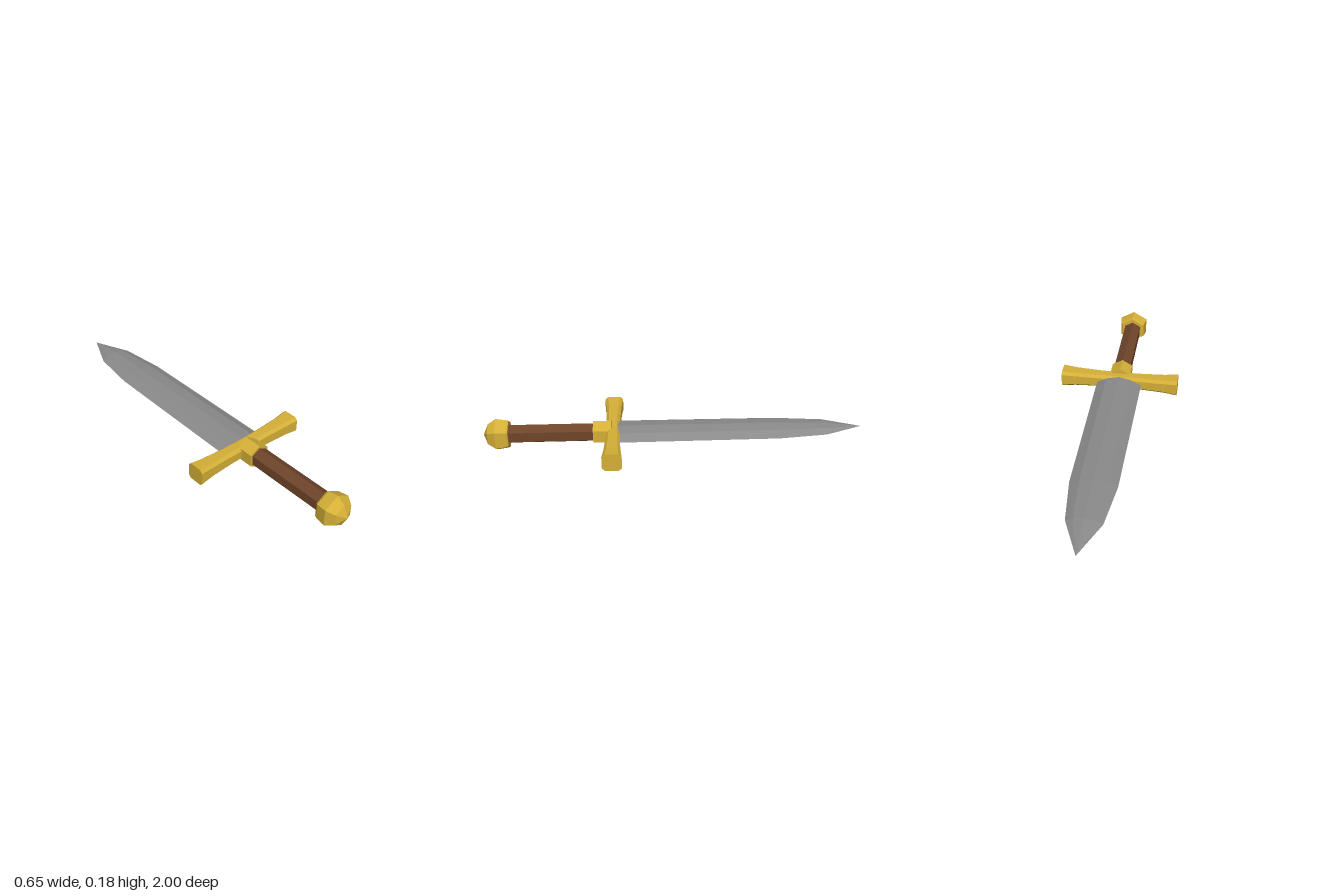
import * as THREE from 'three';

const mat = (name, color) => {
  const m = new THREE.MeshStandardMaterial({ color, flatShading: true });
  m.name = name;
  return m;
};

// Skin a closed solid over rings [[x, y], ...] placed at z positions (rising z, counter-clockwise rings).
function loft(sections) {
  const n = sections[0].ring.length;
  const pos = [], index = [];
  for (const { z, ring } of sections) for (const [x, y] of ring) pos.push(x, y, z);
  for (let s = 0; s < sections.length - 1; s++) {
    for (let i = 0; i < n; i++) {
      const a = s * n + i, b = s * n + (i + 1) % n;
      index.push(a, b, a + n, b, b + n, a + n);
    }
  }
  const last = (sections.length - 1) * n;
  for (let i = 1; i < n - 1; i++) {
    index.push(0, i + 1, i);
    index.push(last, last + i, last + i + 1);
  }
  const g = new THREE.BufferGeometry();
  g.setAttribute('position', new THREE.Float32BufferAttribute(pos, 3));
  g.setIndex(index);
  const flat = g.toNonIndexed();
  flat.computeVertexNormals();
  return flat;
}

// Six-sided turned part along z, with a corner pointing up; profile is [radius, z].
function hexTurned(profile) {
  const pts = profile.map(([r, z]) => new THREE.Vector2(r, z));
  return new THREE.LatheGeometry(pts, 6).rotateX(Math.PI / 2);
}

// Shallow lens outline of the blade
const lens = (w, h) => [
  [w, 0], [w * 0.58, h * 0.74], [0, h], [-w * 0.58, h * 0.74],
  [-w, 0], [-w * 0.58, -h * 0.74], [0, -h], [w * 0.58, -h * 0.74],
];

// Rectangle with cut corners for the guard
const chamfered = (w, h, c) => [
  [w, -h + c], [w, h - c], [w - c, h], [-w + c, h],
  [-w, h - c], [-w, -h + c], [-w + c, -h], [w - c, -h],
];

export function createModel() {
  const gold = mat('gold', 0xd4af37);
  const steel = mat('steel', 0x8a8a8a);
  const leather = mat('brown leather', 0x6f452a);

  const sword = new THREE.Group();
  sword.name = 'sword';
  const add = (name, geometry, material) => {
    const mesh = new THREE.Mesh(geometry, material);
    mesh.name = name;
    mesh.position.y = 0.09;
    sword.add(mesh);
    return mesh;
  };

  // Blade, from the point back into the guard: [z, half width, half thickness]
  const bladeStations = [
    [-1, 0.0005, 0.0005], [-0.8, 0.088, 0.026], [-0.55, 0.118, 0.033], [0.3, 0.124, 0.035],
  ];
  add('blade', loft(bladeStations.map(([z, w, h]) => ({ z, ring: lens(w, h) }))), steel);

  // Cross guard flaring to both ends: [x, half depth, half height]
  const half = [[0, 0.036, 0.037], [0.13, 0.038, 0.0385], [0.25, 0.043, 0.0415], [0.325, 0.05, 0.047]];
  const guardStations = [...half.slice(1).reverse().map(([x, d, h]) => [-x, d, h]), ...half];
  const guard = loft(guardStations.map(([z, d, h]) => ({ z, ring: chamfered(d, h, 0.015) })));
  add('crossGuard', guard.rotateY(Math.PI / 2), gold).position.z = 0.322;

  // Collar, grip and pommel
  add('collar', hexTurned([[0, 0.33], [0.065, 0.33], [0.065, 0.426], [0, 0.426]]), gold);
  add('grip', hexTurned([[0, 0.4], [0.052, 0.4], [0.052, 0.89], [0, 0.89]]), leather);
  add('pommel', hexTurned([
    [0, 0.866], [0.074, 0.866], [0.081, 0.876], [0.09, 0.93], [0.06, 0.973], [0, 1],
  ]), gold);

  return sword;
}
